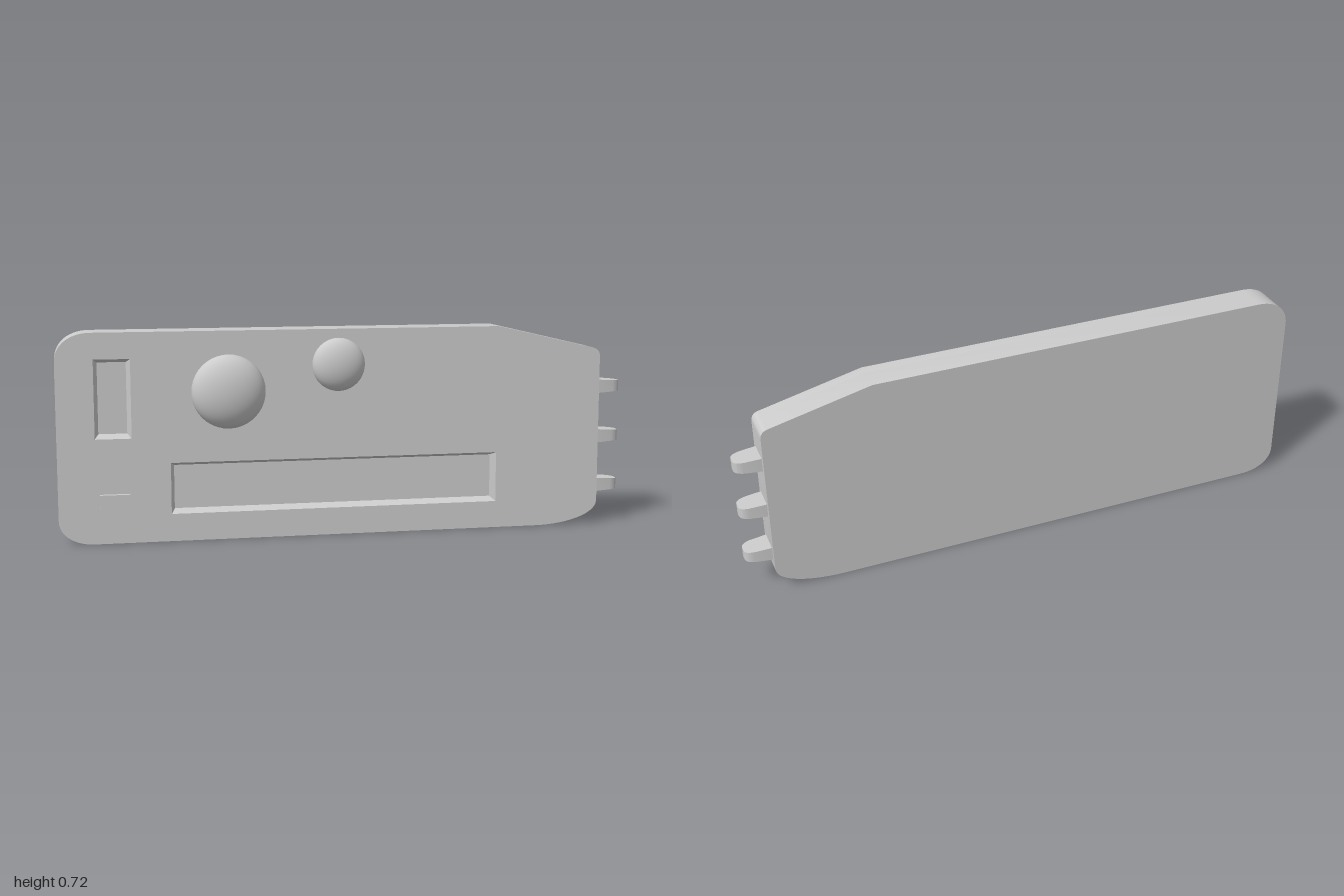
import * as THREE from 'three';
import { toCreasedNormals } from 'three/addons/utils/BufferGeometryUtils.js';

const BACK = -0.092, FRONT = 0.027, RECESS = 0.035, TAPER = 0.013;
// recessed windows: x0, x1, y0, y1
const WINDOWS = [[-0.873, -0.75, 0.36, 0.63], [-0.62, 0.53, 0.095, 0.272]];
const material = new THREE.MeshStandardMaterial({ color: 0xcccccc });

function addMesh(parent, name, geometry, x = 0, y = 0, z = 0) {
  const mesh = new THREE.Mesh(geometry, material);
  mesh.name = name;
  mesh.position.set(x, y, z);
  parent.add(mesh);
  return mesh;
}

function bodyOutline() {
  const s = new THREE.Shape();
  s.moveTo(-0.88, 0);
  s.lineTo(0.68, 0);
  s.bezierCurveTo(0.79, 0, 0.91, 0.03, 0.91, 0.085);
  s.lineTo(0.91, 0.605);
  s.quadraticCurveTo(0.91, 0.632, 0.885, 0.638);
  s.lineTo(0.535, 0.72);
  s.lineTo(-0.88, 0.72);
  s.bezierCurveTo(-0.95, 0.72, -1, 0.68, -1, 0.62);
  s.lineTo(-1, 0.085);
  s.bezierCurveTo(-1, 0.035, -0.95, 0, -0.88, 0);
  return s;
}

function extrude(shape, depth) {
  return new THREE.ExtrudeGeometry(shape, { depth, bevelEnabled: false, curveSegments: 14 });
}

// Front layer with windows whose walls narrow towards the floor
function frontLayer() {
  const shape = bodyOutline();
  for (const [x0, x1, y0, y1] of WINDOWS) {
    const hole = new THREE.Path();
    hole.moveTo(x0, y0);
    hole.lineTo(x0, y1);
    hole.lineTo(x1, y1);
    hole.lineTo(x1, y0);
    hole.closePath();
    shape.holes.push(hole);
  }
  const g = extrude(shape, RECESS);
  const p = g.attributes.position;
  for (let i = 0; i < p.count; i++) {
    if (p.getZ(i) > 0.001) continue;
    const x = p.getX(i), y = p.getY(i);
    for (const [x0, x1, y0, y1] of WINDOWS) {
      if (x < x0 - 0.001 || x > x1 + 0.001 || y < y0 - 0.001 || y > y1 + 0.001) continue;
      p.setX(i, x + (x < (x0 + x1) / 2 ? TAPER : -TAPER));
      p.setY(i, y + (y < (y0 + y1) / 2 ? TAPER : -TAPER));
    }
  }
  return toCreasedNormals(g, 0.5);
}

// Half ellipsoid bulging forwards
function dome(radius, height) {
  const g = new THREE.SphereGeometry(1, 40, 16, 0, Math.PI * 2, 0, Math.PI / 2);
  g.rotateX(Math.PI / 2);
  g.scale(radius, radius, height);
  return g;
}

// Prong with a rounded tip, getting thinner outwards
function prongGeometry() {
  const s = new THREE.Shape();
  s.moveTo(-0.01, -0.041);
  s.lineTo(0.055, -0.036);
  s.quadraticCurveTo(0.09, -0.031, 0.09, -0.008);
  s.lineTo(0.09, 0.008);
  s.quadraticCurveTo(0.09, 0.031, 0.055, 0.036);
  s.lineTo(-0.01, 0.041);
  s.closePath();
  const g = extrude(s, 0.05);
  g.translate(0, 0, -0.025);
  g.rotateX(-Math.PI / 2);
  const p = g.attributes.position;
  for (let i = 0; i < p.count; i++) {
    p.setY(i, p.getY(i) * (1 - 3 * Math.max(0, p.getX(i))));
  }
  return toCreasedNormals(g, 0.5);
}

export function createModel() {
  const model = new THREE.Group();
  model.name = 'controlPanel';

  // Slab
  const body = new THREE.Group();
  body.name = 'body';
  model.add(body);
  const backDepth = FRONT - RECESS - BACK;
  addMesh(body, 'backPlate', toCreasedNormals(extrude(bodyOutline(), backDepth), 0.5), 0, 0, BACK);
  addMesh(body, 'frontPlate', frontLayer(), 0, 0, FRONT - RECESS);

  // Front details
  addMesh(model, 'largeDome', dome(0.127, 0.066), -0.42, 0.512, FRONT);
  addMesh(model, 'smallDome', dome(0.092, 0.048), -0.039, 0.597, FRONT);
  addMesh(model, 'button', new THREE.BoxGeometry(0.102, 0.068, 0.03), -0.81, 0.137, 0.029);

  // Side prongs
  const prong = prongGeometry();
  for (const y of [0.137, 0.316, 0.496]) addMesh(model, 'prong', prong, 0.91, y, -0.032);

  return model;
}
